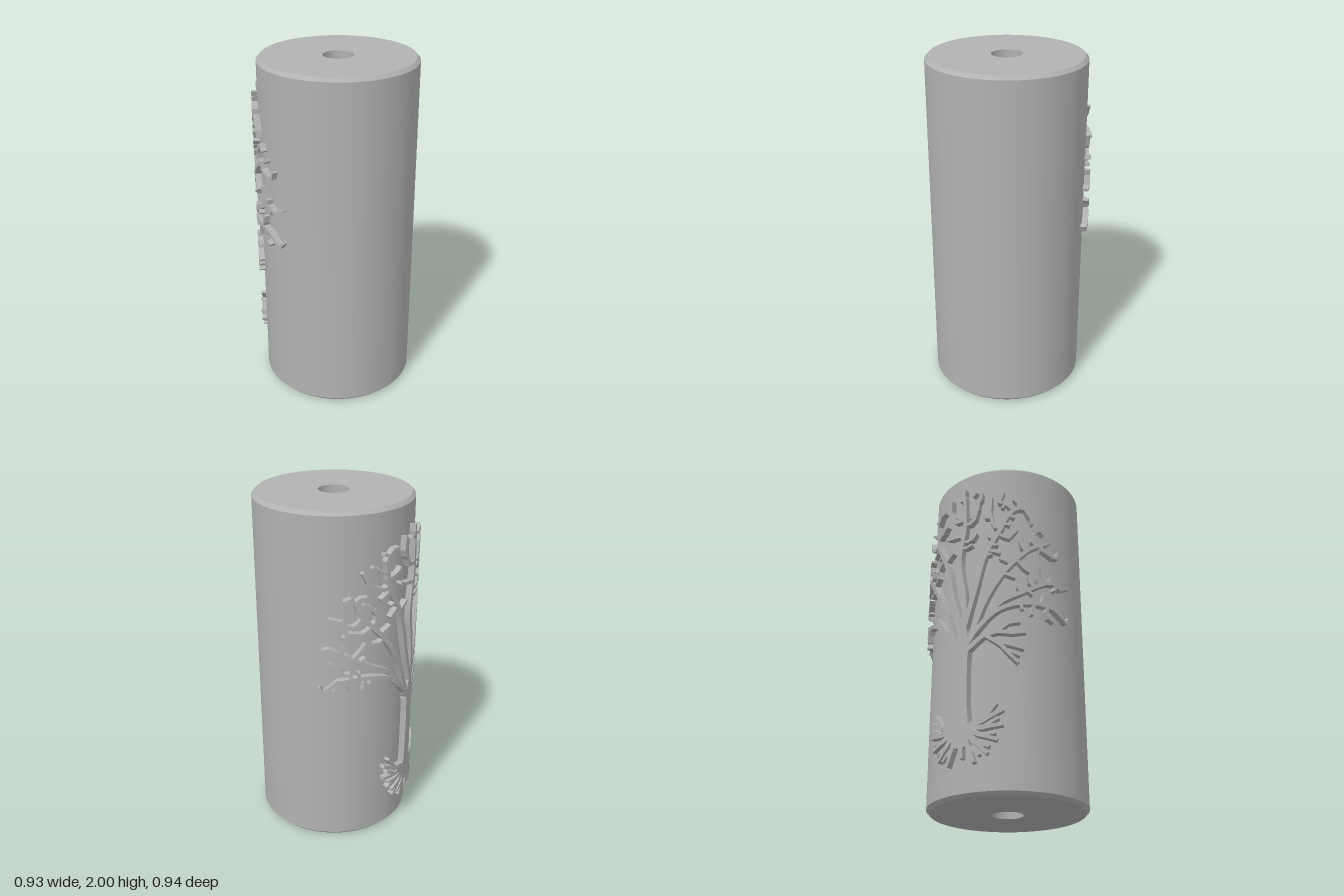
import * as THREE from 'three';
import { mergeGeometries, toCreasedNormals } from 'three/addons/utils/BufferGeometryUtils.js';

const CX = 0.017, R_IN = 0.44, R_OUT = 0.481, R_MID = 0.465;
const grey = new THREE.MeshStandardMaterial({ color: 0xb2b2b2 });
grey.name = 'grey';

// Raised stroke from a to b (u around the cylinder, y up), with half-widths at both ends, wrapped on the cylinder
function stroke(a, b, wa, wb) {
  const dx = b[0] - a[0], dy = b[1] - a[1], len = Math.hypot(dx, dy) || 1e-6;
  const tx = dx / len, ty = dy / len, over = Math.min(wa, wb) * 0.5;
  const geo = new THREE.BoxGeometry(1, 2, 1, Math.max(1, Math.ceil(len / 0.06)), wa > 0.03 ? 4 : 1, 1);
  const p = geo.attributes.position;
  for (let i = 0; i < p.count; i++) {
    const t = p.getX(i) + 0.5, top = p.getZ(i) > 0;
    const along = -over + t * (len + 2 * over);
    const side = p.getY(i) * (wa + (wb - wa) * t) * (top ? 0.8 : 1);
    const ang = (a[0] + tx * along - ty * side) / R_MID;
    const r = top ? R_OUT : R_IN;
    p.setXYZ(i, CX - r * Math.cos(ang), a[1] + ty * along + tx * side, r * Math.sin(ang));
  }
  geo.computeVertexNormals();
  return geo;
}

// Stroke along several points, tapering from w0 to w1
function path(points, w0, w1) {
  const n = points.length - 1, w = i => w0 + (w1 - w0) * i / n;
  return points.slice(1).map((b, i) => stroke(points[i], b, w(i), w(i + 1)));
}

function part(name, geos) {
  const mesh = new THREE.Mesh(mergeGeometries(geos), grey);
  mesh.name = name;
  return mesh;
}

// Limbs drawn by hand, twigs grown from them towards points scattered over the crown
function crown() {
  let seed = 7;
  const rand = () => (seed = (seed * 16807) % 2147483647) / 2147483647;
  const nodes = [{ p: [0, 0.8], parent: -1, load: 0 }];
  const add = (p, parent) => nodes.push({ p, parent, load: 0 }) - 1;
  const nearest = q => {
    let best = 0, dist = Infinity;
    nodes.forEach((n, i) => {
      const d = Math.hypot(n.p[0] - q[0], n.p[1] - q[1]);
      if (d < dist) { dist = d; best = i; }
    });
    return [best, dist];
  };
  const limb = points => {
    let prev = nearest(points[0])[0];
    const curve = new THREE.CatmullRomCurve3([nodes[prev].p, ...points.slice(1)].map(q => new THREE.Vector3(q[0], q[1], 0)));
    const n = Math.ceil(curve.getLength() / 0.04);
    for (let i = 1; i <= n; i++) { const v = curve.getPointAt(i / n); prev = add([v.x, v.y], prev); }
  };
  limb([[0, 0.8], [0.01, 1.1], [-0.03, 1.38], [0, 1.58]]);
  for (const s of [-1, 1]) {
    const half = [
      [[0, 0.8], [0.1, 0.93], [0.22, 1.03], [0.38, 1.07], [0.52, 1.06]],
      [[0.12, 0.95], [0.22, 1.07], [0.33, 1.13], [0.47, 1.21]],
      [[0.05, 0.88], [0.14, 1.1], [0.25, 1.28], [0.36, 1.4]],
      [[0.01, 0.9], [0.07, 1.15], [0.13, 1.38], [0.22, 1.55]]
    ];
    half.forEach(l => limb(l.map(([u, y]) => [s * u, y])));
  }
  // Scattered growth points inside the outer part of the half ellipse
  let goals = [];
  const gap = 0.056;
  for (let u = -0.67; u < 0.67; u += gap) for (let y = 1.0; y < 1.87; y += gap) {
    const q = [u + (rand() - 0.5) * gap * 0.8, y + (rand() - 0.5) * gap * 0.8];
    const e = Math.hypot(q[0] / 0.66, (q[1] - 1) / 0.86);
    const notch = Math.abs(q[0]) > 0.5 && ((q[1] > 1.09 && q[1] < 1.14) || (q[1] > 1.28 && q[1] < 1.38));
    if (e < 1 && e > 0.5 && !notch) goals.push(q);
  }
  for (let step = 0; step < 30 && goals.length; step++) {
    const pull = new Map();
    goals = goals.filter(q => {
      const [i, d] = nearest(q);
      if (d < 0.03) return false;
      const n = nodes[i].p, v = pull.get(i) || [0, 0];
      pull.set(i, [v[0] + (q[0] - n[0]) / d, v[1] + (q[1] - n[1]) / d]);
      return true;
    });
    for (const [i, v] of pull) {
      const l = Math.hypot(v[0], v[1]);
      if (l < 0.05) continue;
      const q = [nodes[i].p[0] + v[0] / l * 0.035, nodes[i].p[1] + v[1] / l * 0.035];
      if (nearest(q)[1] > 0.022) add(q, i);
    }
  }
  // Limbs thicken with the number of twigs they carry
  for (let i = nodes.length - 1; i > 0; i--) nodes[nodes[i].parent].load += nodes[i].load + 1;
  const width = n => Math.min(0.026, 0.0095 + 0.0012 * Math.sqrt(n.load));
  return nodes.slice(1).map(n => stroke(nodes[n.parent].p, n.p, width(n), width(n)));
}

export function createModel() {
  const group = new THREE.Group();

  // Chamfered cylinder with a bore through it
  const profile = [[0.086, 0], [0.428, 0], [0.447, 0.02], [0.447, 1.98], [0.428, 2], [0.086, 2], [0.086, 0]];
  const lathe = new THREE.LatheGeometry(profile.map(([x, y]) => new THREE.Vector2(x, y)), 96);
  const body = new THREE.Mesh(toCreasedNormals(lathe, Math.PI / 7), grey);
  body.name = 'cylinderBody';
  body.position.x = CX;
  group.add(body);

  // Trunk, flaring at the foot and at the fork
  const trunk = [[0.27, 0.035], [0.36, 0.065], [0.44, 0.052], [0.6, 0.046], [0.76, 0.046], [0.84, 0.058], [0.91, 0.035]];
  group.add(part('treeTrunk', trunk.slice(1).map(([y, w], i) => stroke([0, trunk[i][0]], [0, y], trunk[i][1], w))));

  group.add(part('treeCrown', crown()));

  // Drooping branch on the front side
  group.add(part('lowBranch', [
    ...path([[0.03, 0.8], [0.12, 0.87], [0.2, 0.89], [0.28, 0.88], [0.35, 0.89]], 0.018, 0.011),
    ...path([[0.14, 0.87], [0.22, 0.81], [0.27, 0.75], [0.31, 0.71]], 0.014, 0.011),
    ...path([[0.2, 0.83], [0.27, 0.81], [0.34, 0.79]], 0.012, 0.01),
    ...path([[0.25, 0.78], [0.32, 0.75]], 0.011, 0.01),
    ...path([[0.2, 0.89], [0.26, 0.94], [0.32, 0.95]], 0.012, 0.01)
  ]));

  // Roots fanning out on both sides, each with a side shoot
  const tips = [[0.23, 0.44], [0.23, 0.36], [0.2, 0.28], [0.15, 0.21], [0.08, 0.17]];
  const roots = path([[0, 0.34], [0.01, 0.2]], 0.02, 0.011);
  for (const s of [-1, 1]) tips.forEach(([u, y], i) => {
    const mid = [s * u * 0.55, 0.34 + (y - 0.34) * 0.45];
    roots.push(...path([[s * 0.02, 0.36], mid, [s * u, y]], 0.022, 0.011));
    roots.push(...path([mid, [s * (u * 0.85 + 0.01 * i), y + 0.035]], 0.012, 0.01));
  });
  group.add(part('treeRoots', roots));
  return group;
}
